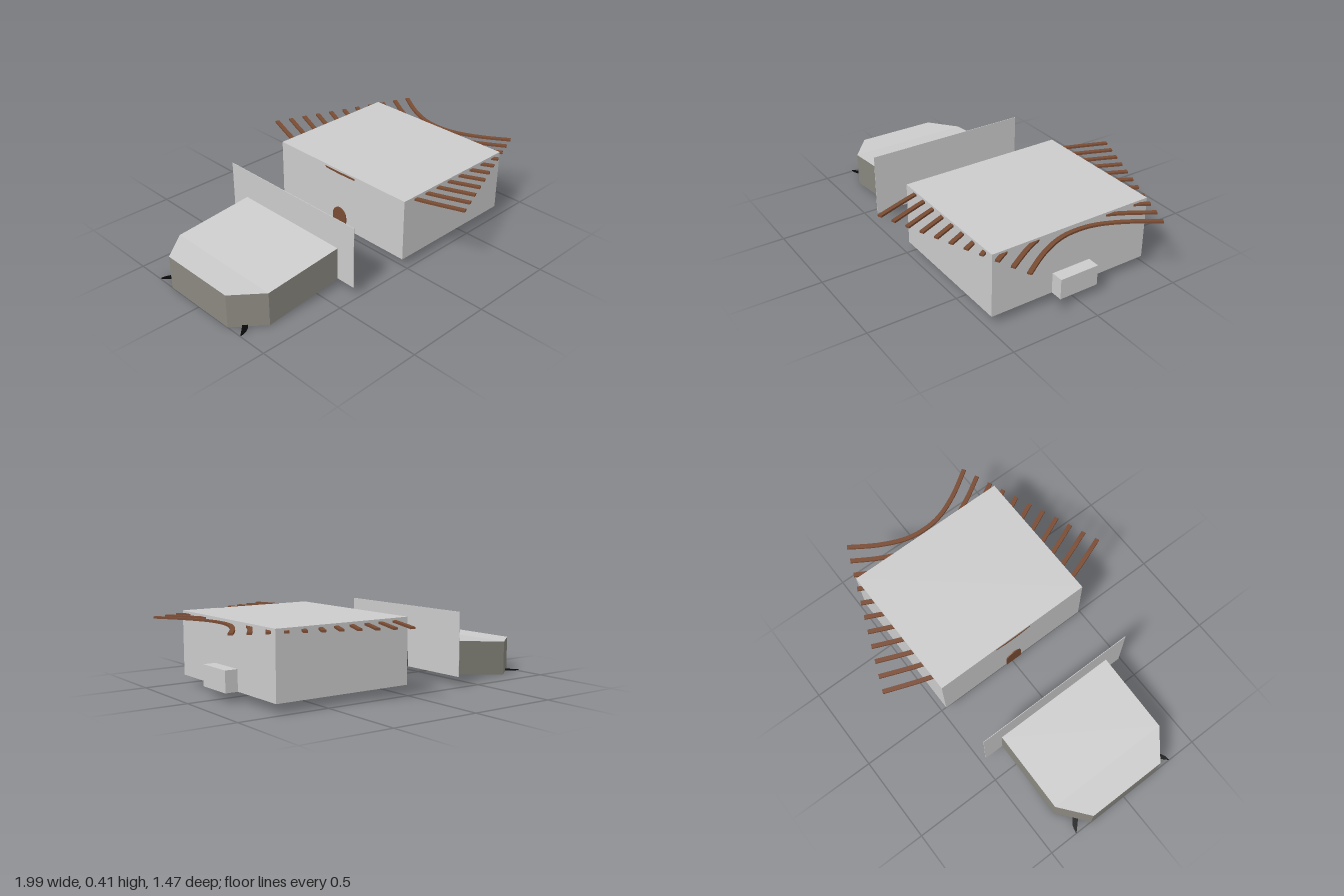
import * as THREE from 'three';

export function createModel() {
  const mat = (name, color) => {
    const m = new THREE.MeshStandardMaterial({ color });
    m.name = name;
    return m;
  };
  const grey = mat('light grey', 0xcccccc);
  const stone = mat('olive grey', 0x8b8980);
  const darkWood = mat('dark wood', 0x5e493a);
  const wood = mat('brown wood', 0x7a4c34);
  const black = mat('black', 0x080808);
  const stud = mat('dark grey', 0x6a6765);

  const model = new THREE.Group();
  const add = (name, geo, material, x = 0, y = 0, z = 0) => {
    const mesh = new THREE.Mesh(geo, material);
    mesh.name = name;
    mesh.position.set(x, y, z);
    model.add(mesh);
    return mesh;
  };
  const box = (name, x0, x1, y0, y1, z0, z1, material) =>
    add(name, new THREE.BoxGeometry(x1 - x0, y1 - y0, z1 - z0), material,
      (x0 + x1) / 2, (y0 + y1) / 2, (z0 + z1) / 2);

  // Main hall, rear annex and freestanding wall
  box('mainHall', -0.015, 0.78, 0.055, 0.41, -0.475, 0.475, grey);
  box('annex', 0.78, 0.85, 0.055, 0.17, -0.115, 0.115, grey);
  box('freestandingWall', -0.381, -0.378, 0.055, 0.41, -0.475, 0.475, grey);

  // Arched doors, one on the wall and one on the hall
  const door = new THREE.Shape();
  door.moveTo(-0.05, 0);
  door.lineTo(0.05, 0);
  door.lineTo(0.05, 0.07);
  door.absarc(0, 0.07, 0.05, 0, Math.PI);
  door.closePath();
  const doorGeo = new THREE.ExtrudeGeometry(door, { depth: 0.006, bevelEnabled: false });
  doorGeo.rotateY(Math.PI / 2);
  add('wallDoor', doorGeo, wood, -0.378, 0.055, 0);
  add('hallDoor', doorGeo, wood, -0.021, 0.055, 0);

  // Tapered front block: lofted stations of [x, half width, bottom, top]
  const stations = [
    [-1, 0.23, 0.003, 0.195],
    [-0.84, 0.36, 0.003, 0.195],
    [-0.381, 0.36, 0.053, 0.24],
  ];
  const faces = { deck: [], sides: [], underside: [] };
  const quad = (list, a, b, c, d) => list.push(...a, ...b, ...c, ...a, ...c, ...d);
  // Ring order: bottom right, bottom left, top left, top right
  const rings = stations.map(([x, w, b, t]) =>
    [[x, b, -w], [x, b, w], [x, t, w], [x, t, -w]]);
  for (let i = 0; i < 2; i++) {
    const p = rings[i], q = rings[i + 1];
    quad(faces.underside, p[0], q[0], q[1], p[1]);
    quad(faces.sides, p[1], q[1], q[2], p[2]);
    quad(faces.deck, p[2], q[2], q[3], p[3]);
    quad(faces.sides, p[3], q[3], q[0], p[0]);
  }
  quad(faces.sides, ...rings[0]);
  quad(faces.sides, ...[...rings[2]].reverse());
  const blockColours = { deck: grey, sides: stone, underside: darkWood };
  for (const [name, list] of Object.entries(faces)) {
    const geo = new THREE.BufferGeometry();
    geo.setAttribute('position', new THREE.Float32BufferAttribute(list, 3));
    geo.computeVertexNormals();
    add('frontBlock_' + name, geo, blockColours[name]);
  }

  // Black quarter discs beside the front corners
  for (const s of [-1, 1]) {
    const fin = new THREE.Shape();
    fin.moveTo(0, 0);
    fin.absarc(0, 0, 0.1, 0, Math.PI / 2);
    fin.closePath();
    const geo = new THREE.ExtrudeGeometry(fin, { depth: 0.006, bevelEnabled: false });
    geo.rotateX(Math.PI / 2);
    if (s < 0) geo.rotateY(Math.PI / 2);
    add(s > 0 ? 'leftCornerFin' : 'rightCornerFin', geo, black, -1, 0.013, s * 0.23);
  }

  // Swept roof ribs, each a flat bent strip, shorter toward the back
  const ribs = 11, halfWidth = 0.012;
  for (let i = 0; i < ribs; i++) {
    const apex = -0.007 + 0.0812 * i;
    const reach = 0.73 - 0.0325 * i;
    const profile = [[-1, 0.172], [-0.65, 0.08], [-0.3, 0.017], [0, 0],
      [0.3, 0.017], [0.65, 0.08], [1, 0.172]];
    const curve = new THREE.SplineCurve(
      profile.map(([t, dx]) => new THREE.Vector2(apex + dx, t * reach)));
    const left = [], right = [];
    for (let k = 0; k <= 24; k++) {
      const p = curve.getPoint(k / 24), d = curve.getTangent(k / 24);
      const n = new THREE.Vector2(-d.y, d.x).multiplyScalar(halfWidth);
      left.push(p.clone().add(n));
      right.push(p.clone().sub(n));
    }
    const geo = new THREE.ExtrudeGeometry(new THREE.Shape([...left, ...right.reverse()]),
      { depth: 0.011, bevelEnabled: false });
    geo.rotateX(Math.PI / 2);
    add('roofRib' + (i + 1), geo, wood, 0, 0.398, 0);
  }

  // Hatch and small studs under the hall
  box('floorHatch', 0.285, 0.365, 0.049, 0.056, 0.165, 0.2, wood);
  const studs = [[0.35, -0.29], [0.37, -0.35], [0.33, -0.41], [0.195, -0.36], [0.09, -0.355],
    [0.486, 0.35], [0.345, 0.4], [0.28, 0.356], [0.17, 0.39], [0.12, 0.345],
    [0.136, 0.25], [0.14, 0.146]];
  const studGeo = new THREE.CylinderGeometry(0.013, 0.013, 0.004, 10);
  for (const [x, z] of studs) add('floorStud', studGeo, stud, x, 0.054, z);

  return model;
}
